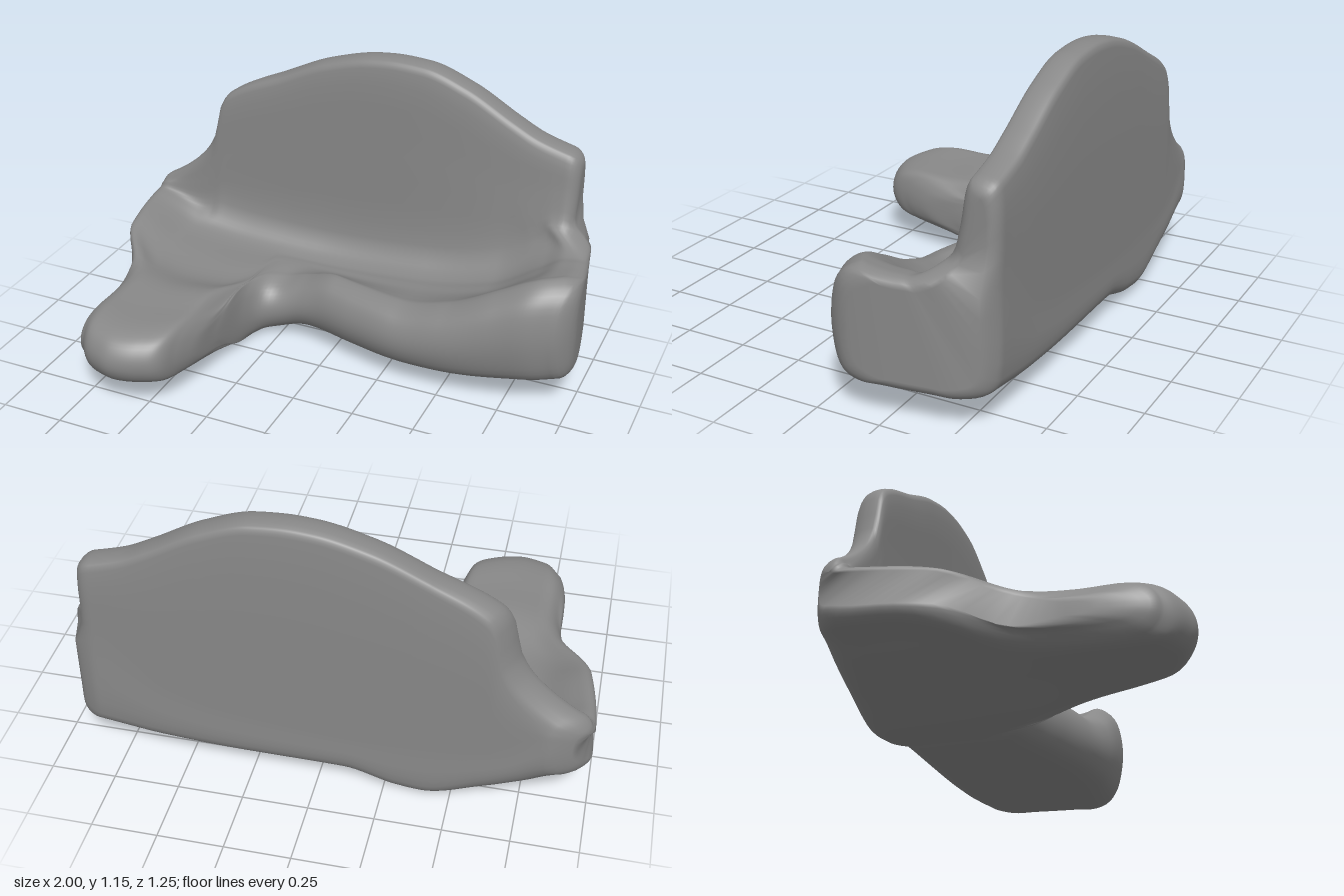
import * as THREE from 'three';

const { lerp, clamp, smoothstep } = THREE.MathUtils;

// Smooth function y(x) through a few [x, y] points, without overshoot
function spline(pts) {
  const n = pts.length;
  const d = pts.slice(1).map((p, i) => (p[1] - pts[i][1]) / (p[0] - pts[i][0]));
  const m = pts.map((_, i) => {
    if (i === 0) return d[0];
    if (i === n - 1) return d[n - 2];
    return d[i - 1] * d[i] <= 0 ? 0 : (2 * d[i - 1] * d[i]) / (d[i - 1] + d[i]);
  });
  return (x) => {
    x = clamp(x, pts[0][0], pts[n - 1][0]);
    let i = 0;
    while (i < n - 2 && x > pts[i + 1][0]) i++;
    const h = pts[i + 1][0] - pts[i][0], t = (x - pts[i][0]) / h, u = 1 - t;
    return pts[i][1] * (1 + 2 * t) * u * u + h * m[i] * t * u * u
      + pts[i + 1][1] * t * t * (3 - 2 * t) - h * m[i + 1] * t * t * u;
  };
}

// Plan outline of the two ends, as x over z
const lowEnd = spline([[-0.62, -0.89], [-0.56, -0.97], [-0.5, -1], [-0.18, -0.96], [0.06, -0.83], [0.2, -0.815], [0.4, -0.815]]);
const armEnd = spline([[-0.62, 0.88], [-0.58, 0.915], [-0.45, 0.955], [-0.12, 1], [-0.06, 0.985], [0.03, 0.95]]);

// Heights over x: backrest outline, front lip, seat hollow, underside
const backTop = spline([[-1, 0.41], [-0.9, 0.46], [-0.76, 0.58], [-0.7, 0.68], [-0.665, 0.83], [-0.63, 0.88], [-0.4, 0.995],
  [-0.2, 1.085], [0, 1.135], [0.1, 1.142], [0.22, 1.135], [0.4, 1.075], [0.6, 0.965], [0.7, 0.915], [0.87, 0.865]]);
const lip = spline([[-1, 0.39], [-0.8, 0.33], [-0.6, 0.315], [-0.42, 0.31], [-0.34, 0.26], [-0.26, 0.24], [-0.16, 0.27],
  [0, 0.325], [0.3, 0.325], [0.5, 0.375], [0.7, 0.475], [0.85, 0.54], [1, 0.555]]);
const hollow = spline([[-1, 0.4], [-0.9, 0.36], [-0.75, 0.29], [-0.5, 0.26], [-0.2, 0.25], [0.3, 0.29],
  [0.6, 0.36], [0.8, 0.48], [0.88, 0.53], [1, 0.545]]);
const under = spline([[-1, 0.2], [-0.9, 0.17], [-0.8, 0.125], [-0.65, 0.07], [-0.4, 0.0], [-0.3, 0.01],
  [-0.1, 0.06], [0.3, 0.065], [0.6, 0.08], [0.85, 0.11], [1, 0.13]]);

// Front edge: chaise first, then the wavy seat front, as depth z over column s
const frontEdge = new THREE.CatmullRomCurve3([[-1, 0.53], [-0.933, 0.575], [-0.833, 0.603], [-0.733, 0.615], [-0.567, 0.59],
  [-0.433, 0.53], [-0.375, 0.38], [-0.36, 0.2], [-0.34, 0], [-0.3, -0.08], [-0.2, -0.11], [-0.1, -0.1], [0.1, -0.04],
  [0.3, 0.01], [0.55, 0.03], [0.8, 0.015], [0.92, 0], [1, -0.03]].map(([x, z]) => new THREE.Vector3(x, 0, z)));

const EDGE = 0.05;

// x of column s; columns fan out to follow both ends, and the backrest stands inside the arm
function columnX(s, z, y) {
  const w = clamp((Math.abs(s) - 0.4) / 0.6, 0, 1);
  if (s < 0) return s + (lowEnd(z) + 1 + EDGE) * w;
  return s + (lerp(armEnd(z), 0.872, smoothstep(y, 0.53, 0.61)) - 1 - EDGE) * w;
}

// Top and bottom of the seat, with the chaise sides rolled over
function seatHeights(x, z, front) {
  let top = lerp(hollow(x), lip(x), smoothstep(z, lerp(-0.5, front, 0.45), Math.min(front - 0.08, 0.05)));
  let bottom = lerp(under(x), 0.1, smoothstep(z, -0.2, 0.5));
  if (x < -0.3) {
    const d = clamp(Math.min(-0.34 - x, x - lowEnd(z)) / 0.1, 0, 1);
    const roll = lerp(1, Math.max(0.6, Math.sqrt(d * (2 - d))), smoothstep(z, 0, 0.2));
    const mid = (top + bottom) / 2, half = (top - bottom) / 2 * roll;
    top = mid + half;
    bottom = mid - half;
  }
  return [top, bottom];
}

// One closed side-on section: up the back, over, down to the seat, round the front, underneath
function section(s, front, inset, dx) {
  const X = (z, y) => columnX(s, z, y) + dx;
  const f = front - inset;
  const zb = -0.62 + inset;
  const pf = -0.492 - inset;
  const cove = lerp(-0.47, -0.44, smoothstep(s, -0.2, 0.6)) - inset;
  const T = (z) => seatHeights(X(z, 0), z, front)[0] - inset;
  const B = (z) => seatHeights(X(z, 0), z, front)[1] + inset;
  const seat = T(cove + 0.08);
  const top = Math.max(backTop(X(-0.56, 1)) - inset, seat + 0.03);
  const rise = top - seat;
  const low = B(zb + 0.1);
  const round = Math.min(0.03, rise * 0.4);
  const pts = [
    [zb, low + 0.07], [zb, seat], [zb + 0.006, top - round],
    [zb + 0.022, top], [pf - 0.02, top], [pf, top - round],
    [lerp(pf, cove, 0.4), seat + rise * 0.55], [cove, seat + Math.min(0.1, rise * 0.2)],
    [cove + 0.045, seat + Math.min(0.025, rise * 0.08)],
  ];
  const z0 = cove + 0.1, z1 = f - 0.11;
  for (const t of [0, 0.2, 0.4, 0.6, 0.8, 1]) {
    const z = lerp(z0, z1, t);
    pts.push([z, T(z)]);
  }
  const ft = T(f - 0.03), fb = B(f - 0.03);
  pts.push([f - 0.035, lerp(ft, fb, 0.13)], [f, lerp(ft, fb, 0.38)],
    [f, lerp(ft, fb, 0.65)], [f - 0.035, lerp(ft, fb, 0.9)]);
  for (const t of [0, 0.25, 0.5, 0.75, 1]) {
    const z = lerp(z1, zb + 0.11, t);
    pts.push([z, B(z)]);
  }
  pts.push([zb + 0.025, low + 0.025]);
  const curve = new THREE.CatmullRomCurve3(pts.map(([z, y]) => new THREE.Vector3(0, y, z)), true, 'centripetal');
  const n = pts.length * 4;
  return Array.from({ length: n }, (_, i) => {
    const p = curve.getPoint(i / n);
    return p.setX(X(p.z, p.y));
  });
}

function sofaGeometry() {
  const rings = [];
  // Rounded ends: the section shrinks a little while moving outwards
  const roundEnd = (side, a) => {
    const front = side < 0 ? lerp(0.36, 0.53, Math.cos(a)) : lerp(-0.09, -0.03, Math.cos(a));
    return section(side, front, 0.04 * (1 - Math.cos(a)), side * EDGE * Math.sin(a));
  };
  const steps = 6, columns = 150;
  for (let k = steps; k > 0; k--) rings.push(roundEnd(-1, (k / steps) * Math.PI / 2));
  for (let i = 0; i <= columns; i++) {
    const p = frontEdge.getPointAt(i / columns);
    rings.push(section(clamp(p.x, -1, 1), p.z, 0, 0));
  }
  for (let k = 1; k <= steps; k++) rings.push(roundEnd(1, (k / steps) * Math.PI / 2));

  // Skin between neighbouring sections
  const n = rings[0].length, last = (rings.length - 1) * n, index = [];
  for (let i = 0; i < rings.length - 1; i++) {
    for (let j = 0; j < n; j++) {
      const a = i * n + j, b = i * n + (j + 1) % n;
      index.push(a, b, a + n, b, b + n, a + n);
    }
  }
  // End caps as ladders: backrest from 4 to 28, seat from 28 round to 4 again
  for (const [base, side] of [[0, -1], [last, 1]]) {
    for (const [from, to] of [[4, 28], [28, n + 4]]) {
      for (let p = from, q = to; q - p >= 2; p++, q--) {
        const [a, b, c, d] = [p, p + 1, q - 1, q].map((k) => base + (k % n));
        if (side > 0) index.push(a, b, d, b, c, d);
        else index.push(a, d, b, b, d, c);
      }
    }
  }
  const geometry = new THREE.BufferGeometry().setFromPoints(rings.flat());
  geometry.setIndex(index);
  geometry.computeVertexNormals();
  return geometry;
}

export function createModel() {
  const group = new THREE.Group();
  group.name = 'sofa';
  const material = new THREE.MeshStandardMaterial({ color: 0x888888 });
  const body = new THREE.Mesh(sofaGeometry(), material);
  body.name = 'seatAndBackrest';
  group.add(body);
  return group;
}
